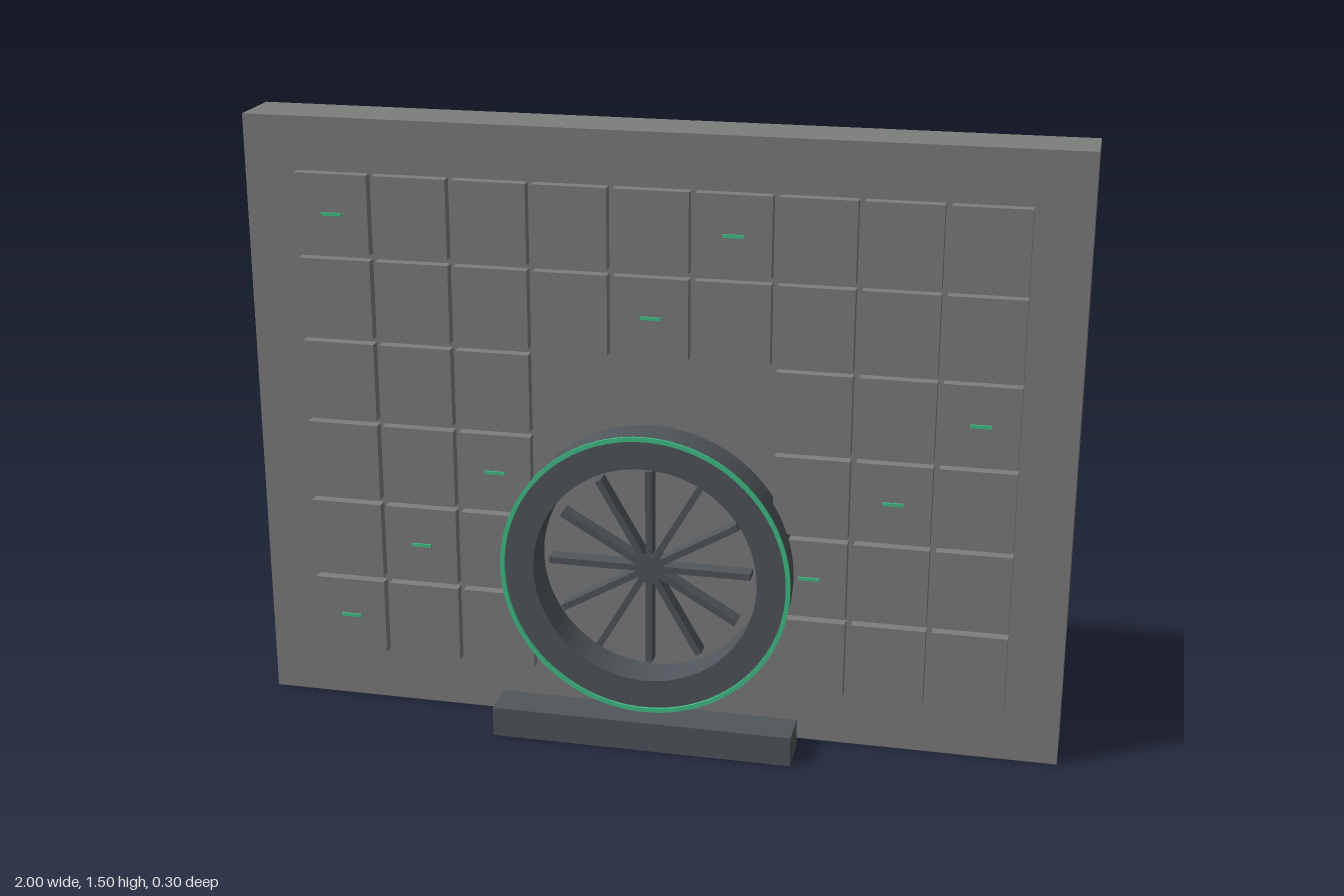
import * as THREE from 'three';

export function createModel() {
  const model = new THREE.Group();
  model.name = 'vaultWall';

  const material = (name, color) => {
    const m = new THREE.MeshStandardMaterial({ color });
    m.name = name;
    return m;
  };
  const stone = material('stone grey', 0x7c7e7c);
  const metal = material('dark metal', 0x50565b);
  const glow = material('glow green', 0x42c088);

  const add = (parent, name, geometry, mat, x = 0, y = 0, z = 0) => {
    const mesh = new THREE.Mesh(geometry, mat);
    mesh.name = name;
    mesh.position.set(x, y, z);
    parent.add(mesh);
    return mesh;
  };
  const group = (name, y = 0) => {
    const g = new THREE.Group();
    g.name = name;
    g.position.y = y;
    model.add(g);
    return g;
  };
  const box = (w, h, d) => new THREE.BoxGeometry(w, h, d);
  const ring = (outer, inner, depth) => {
    const shape = new THREE.Shape().absarc(0, 0, outer, 0, Math.PI * 2);
    shape.holes.push(new THREE.Path().absarc(0, 0, inner, 0, Math.PI * 2, true));
    return new THREE.ExtrudeGeometry(shape, { depth, bevelEnabled: false, curveSegments: 48 });
  };

  // Wall slab and the step in front of the wheel
  add(model, 'wall', box(2, 1.5, 0.15), stone, 0, 0.75, -0.075);
  add(model, 'step', box(0.744, 0.075, 0.1), metal, 0, 0.0375, 0.1);

  // Grid of drawer panels, left open around the wheel
  const columnX = (c) => (c - 4) * 0.1943;
  const rowY = (r) => 1.273 - r * 0.208;
  const panels = group('drawerPanels');
  const panelGeometry = box(0.18, 0.194, 0.027);
  for (let r = 0; r < 6; r++) {
    for (let c = 0; c < 9; c++) {
      if (r > 1 && c > 2 && c < 6) continue;
      add(panels, 'drawerPanel', panelGeometry, stone, columnX(c), rowY(r), 0.0135);
    }
  }

  // Small lit strips on some drawers, as [column, row]
  const strips = group('lightStrips');
  const stripGeometry = box(0.05, 0.008, 0.004);
  const lit = [[0, 0], [5, 0], [4, 1], [8, 2], [2, 3], [7, 3], [1, 4], [6, 4], [0, 5]];
  for (const [c, r] of lit) {
    add(strips, 'lightStrip', stripGeometry, glow, columnX(c), rowY(r), 0.029);
  }

  // Round frame with a glowing rim
  const wheel = group('wheel', 0.44);
  add(wheel, 'wheelFrame', ring(0.352, 0.275, 0.1), metal);
  add(wheel, 'glowRim', ring(0.357, 0.346, 0.006), glow, 0, 0, 0.101);

  // Hub and twelve spokes
  const hub = new THREE.CylinderGeometry(0.036, 0.036, 0.05, 24).rotateX(Math.PI / 2);
  add(wheel, 'hub', hub, metal, 0, 0, 0.025);
  const spokeGeometry = box(0.016, 0.23, 0.04).translate(0, 0.135, 0);
  for (let i = 0; i < 12; i++) {
    add(wheel, 'spoke', spokeGeometry, metal, 0, 0, 0.028).rotation.z = (i * Math.PI) / 6;
  }

  return model;
}
